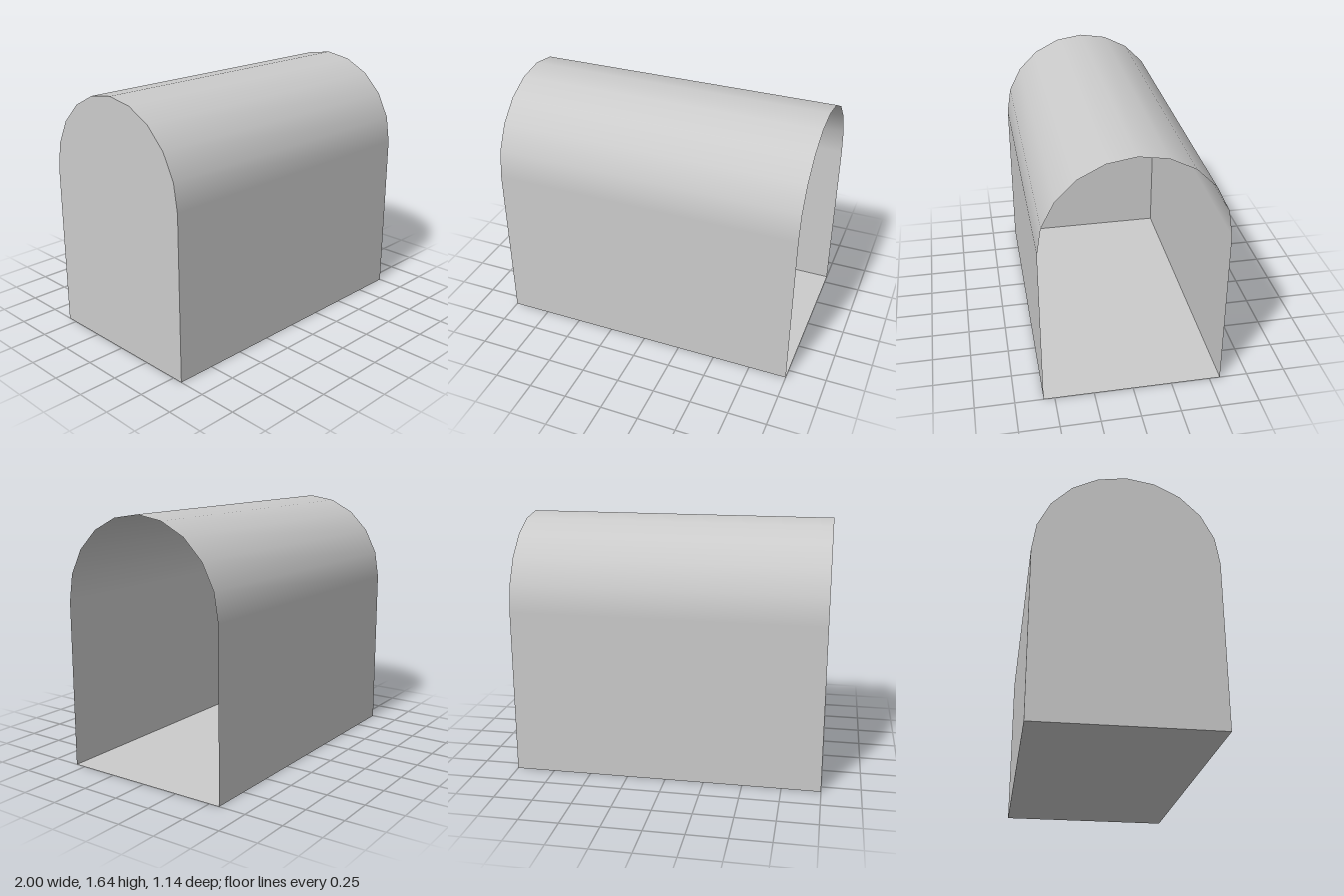
import * as THREE from 'three';

const LENGTH = 2, R = 0.57, WALL = 1.075, SEGMENTS = 10;

export function createModel() {
  const group = new THREE.Group();
  group.name = 'vaultedShell';
  const material = new THREE.MeshStandardMaterial({ color: 0xcccccc, side: THREE.DoubleSide });

  const add = (name, geometry) => {
    const mesh = new THREE.Mesh(geometry, material);
    mesh.name = name;
    group.add(mesh);
    return mesh;
  };

  // Floor
  add('floor', new THREE.PlaneGeometry(LENGTH, 2 * R).rotateX(Math.PI / 2));

  // Long side walls, facing outward
  for (const [name, side] of [['frontWall', 1], ['backWall', -1]]) {
    const wall = new THREE.PlaneGeometry(LENGTH, WALL);
    if (side < 0) wall.rotateY(Math.PI);
    add(name, wall.translate(0, WALL / 2, side * R));
  }

  // Half-round vault with smooth shading
  add('vault', new THREE.CylinderGeometry(R, R, LENGTH, SEGMENTS, 1, true, Math.PI, Math.PI)
    .rotateZ(-Math.PI / 2)
    .translate(0, WALL, 0));

  // Arched end wall on the -x side; the +x end stays open
  const arch = new THREE.Shape();
  arch.moveTo(-R, 0);
  arch.lineTo(R, 0);
  arch.lineTo(R, WALL);
  arch.absarc(0, WALL, R, 0, Math.PI, false);
  add('endWall', new THREE.ShapeGeometry(arch, SEGMENTS / 2)
    .rotateY(-Math.PI / 2)
    .translate(-LENGTH / 2, 0, 0));

  return group;
}
